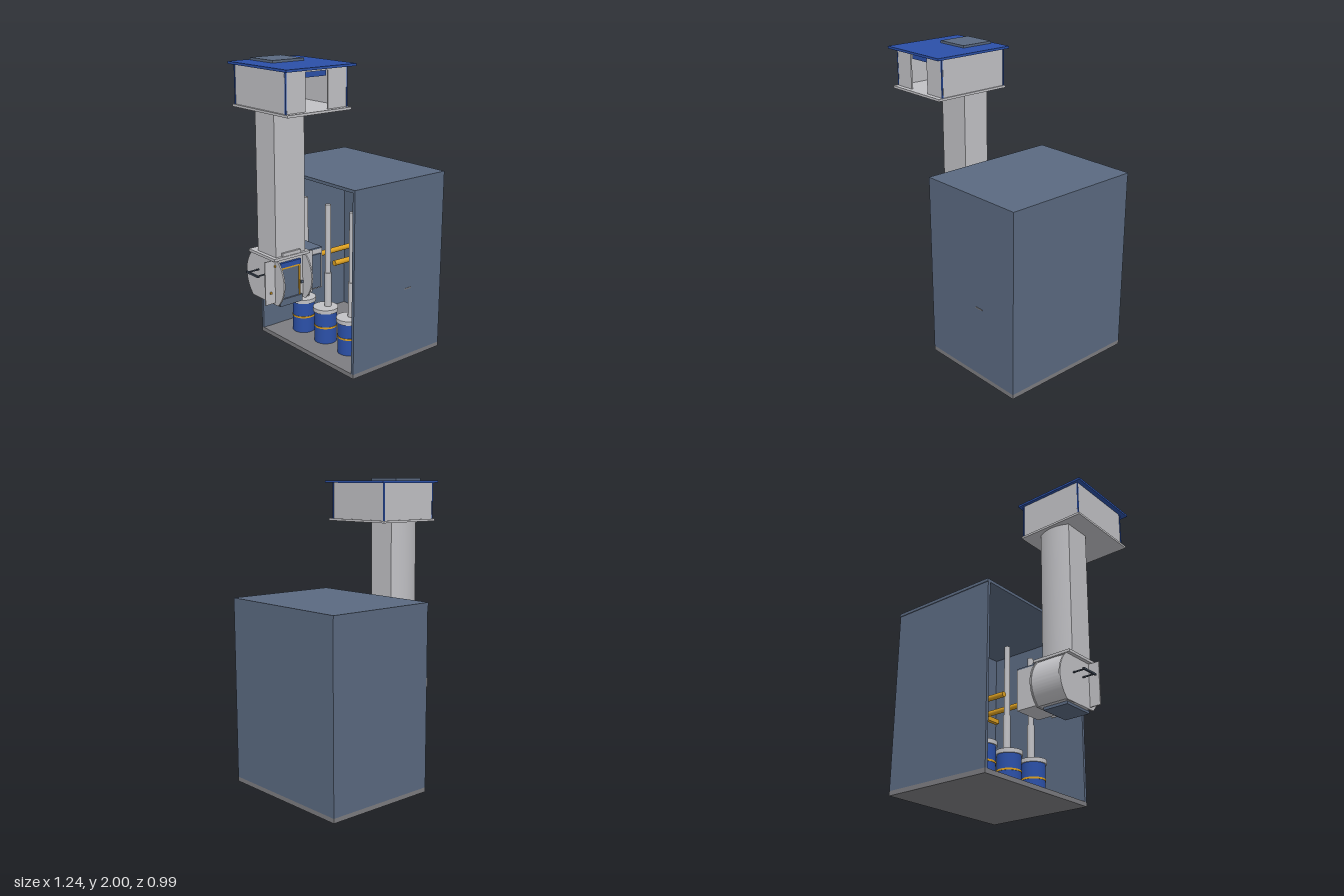
import * as THREE from 'three';
import { toCreasedNormals } from 'three/addons/utils/BufferGeometryUtils.js';

export function createModel() {
  const model = new THREE.Group();
  const paint = (name, color) => {
    const m = new THREE.MeshStandardMaterial({ color });
    m.name = name;
    return m;
  };
  const slate = paint('slate', 0x5a6980);
  const blue = paint('blue', 0x2b50a8);
  const lightGrey = paint('lightGrey', 0xc1c1c5);
  const baseGrey = paint('baseGrey', 0x7c7c80);
  const orange = paint('orange', 0xdca022);
  const dark = paint('dark', 0x3c4654);

  const add = (name, geometry, material, parent = model) => {
    const mesh = new THREE.Mesh(geometry, material);
    mesh.name = name;
    parent.add(mesh);
    return mesh;
  };
  // box from its limits on each axis
  const box = (name, mat, x0, x1, y0, y1, z0, z1, parent) => {
    const mesh = add(name, new THREE.BoxGeometry(x1 - x0, y1 - y0, z1 - z0), mat, parent);
    mesh.position.set((x0 + x1) / 2, (y0 + y1) / 2, (z0 + z1) / 2);
    return mesh;
  };
  const cylinder = (name, mat, r, y0, y1, x, z, parent) => {
    const mesh = add(name, new THREE.CylinderGeometry(r, r, y1 - y0, 32), mat, parent);
    mesh.position.set(x, (y0 + y1) / 2, z);
    return mesh;
  };
  const extrude = (shape, depth) => toCreasedNormals(
    new THREE.ExtrudeGeometry(shape, { depth, bevelEnabled: false, curveSegments: 24 }), 0.6);

  // cabinet, open towards the tower
  const cabinet = new THREE.Group();
  cabinet.name = 'cabinet';
  model.add(cabinet);
  box('cabinetBase', baseGrey, -0.16, 0.62, 0, 0.03, -0.49, 0.49, cabinet);
  box('cabinetRoof', slate, -0.16, 0.62, 1.22, 1.24, -0.495, 0.49, cabinet);
  box('cabinetSide', slate, 0.6, 0.62, 0.03, 1.22, -0.49, 0.49, cabinet);
  box('cabinetFront', slate, -0.16, 0.6, 0.03, 1.22, 0.47, 0.49, cabinet);
  box('cabinetBack', slate, -0.16, 0.6, 0.03, 1.22, -0.49, -0.47, cabinet);
  box('frontMark', baseGrey, 0.28, 0.34, 0.498, 0.506, 0.488, 0.493, cabinet);

  // row of drums with riser pipes
  for (const z of [-0.275, -0.033, 0.21]) {
    const drum = new THREE.Group();
    drum.name = 'drum';
    drum.position.set(0.05, 0, z);
    model.add(drum);
    cylinder('drumBody', blue, 0.077, 0.03, 0.25, 0, 0, drum);
    cylinder('drumBand', orange, 0.08, 0.14, 0.152, 0, 0, drum);
    cylinder('drumLid', lightGrey, 0.086, 0.25, 0.278, 0, 0, drum);
    cylinder('riserSleeve', lightGrey, 0.024, 0.278, 0.52, 0.02, 0, drum);
    cylinder('riserPipe', lightGrey, 0.019, 0.52, 1.0, 0.02, 0, drum);
  }
  // horizontal feed pipes
  for (const z of [-0.12, 0.09]) {
    const pipe = add('feedPipe', new THREE.CylinderGeometry(0.018, 0.018, 0.38, 20), orange);
    pipe.rotation.z = Math.PI / 2;
    pipe.position.set(0.21, 0.63, z);
  }
  box('feedManifold', orange, 0.38, 0.41, 0.615, 0.645, -0.16, 0.25);

  // lower housing: round cheeks around a body with a curved back
  const housing = new THREE.Group();
  housing.name = 'housing';
  model.add(housing);
  const R = 0.2, H = 0.15, a = Math.asin(H / R);
  const cheek = new THREE.Shape();
  cheek.absarc(0, 0, R, -a, a, false);
  cheek.absarc(0, 0, R, Math.PI - a, Math.PI + a, false);
  const body = new THREE.Shape();
  body.moveTo(0.1, -H);
  body.lineTo(0.1, H);
  body.absarc(0, 0, R - 0.006, Math.PI - a, Math.PI + a, false);
  const across = (name, shape, x0, x1) => {
    const mesh = add(name, extrude(shape, x1 - x0).rotateY(-Math.PI / 2), lightGrey, housing);
    mesh.position.set(x1, 0.62, 0);
  };
  across('housingBody', body, -0.47, -0.26);
  across('rightCheek', cheek, -0.48, -0.47);
  across('leftCheek', cheek, -0.26, -0.25);
  box('housingFoot', slate, -0.455, -0.275, 0.455, 0.475, -0.1, 0.11, housing);
  box('frontPlate', lightGrey, -0.555, -0.18, 0.485, 0.77, 0.1, 0.108, housing);
  box('collar', lightGrey, -0.505, -0.225, 0.77, 0.788, -0.135, 0.14, housing);
  box('collarTab', lightGrey, -0.435, -0.295, 0.788, 0.81, 0.12, 0.135, housing);

  // framed front window
  box('windowPanel', slate, -0.435, -0.295, 0.5, 0.7, 0.108, 0.114, housing);
  box('windowHead', blue, -0.445, -0.285, 0.71, 0.742, 0.108, 0.125, housing);
  box('windowSill', slate, -0.455, -0.275, 0.455, 0.5, 0.1, 0.125, housing);
  box('frameTop', orange, -0.445, -0.29, 0.698, 0.71, 0.108, 0.12, housing);
  box('frameSide', orange, -0.298, -0.288, 0.5, 0.7, 0.108, 0.12, housing);
  for (let i = 0; i < 7; i++) {
    const y = 0.51 + i * 0.028;
    box('frameTooth', orange, -0.447, -0.427, y, y + 0.014, 0.108, 0.12, housing);
  }
  // small fittings
  box('latch', dark, -0.225, -0.2, 0.605, 0.617, 0.108, 0.125, housing);
  box('latchPost', dark, -0.215, -0.207, 0.59, 0.635, 0.108, 0.122, housing);
  box('switch', slate, -0.277, -0.262, 0.57, 0.588, 0.108, 0.118, housing);
  for (const [x, y] of [[-0.48, 0.73], [-0.515, 0.56]])
    box('knob', orange, x - 0.006, x + 0.006, y - 0.006, y + 0.006, 0.108, 0.118, housing);
  // side handle
  box('handleBar', dark, -0.57, -0.558, 0.655, 0.667, -0.08, 0.05, housing);
  for (const z of [-0.065, 0.035])
    box('handleStem', dark, -0.56, -0.48, 0.657, 0.665, z - 0.004, z + 0.004, housing);

  // passage into the cabinet
  box('passage', lightGrey, -0.25, -0.086, 0.49, 0.76, -0.12, 0.09, housing);
  box('passageLid', slate, -0.25, -0.086, 0.76, 0.77, -0.12, 0.09, housing);
  box('passageFlange', slate, -0.18, -0.1, 0.5, 0.73, 0.09, 0.1, housing);

  // duct with a bowed back
  const duct = new THREE.Shape();
  duct.moveTo(-0.48, -0.12);
  duct.lineTo(-0.25, -0.12);
  duct.lineTo(-0.25, 0.07);
  duct.quadraticCurveTo(-0.365, 0.135, -0.48, 0.07);
  duct.closePath();
  add('duct', extrude(duct, 0.935).rotateX(-Math.PI / 2), lightGrey).position.y = 0.785;

  // hood with an opening in the front wall
  const hood = new THREE.Group();
  hood.name = 'hood';
  model.add(hood);
  box('hoodFloor', lightGrey, -0.605, -0.13, 1.715, 1.73, -0.125, 0.418, hood);
  box('hoodBack', lightGrey, -0.585, -0.145, 1.73, 1.97, -0.116, -0.106, hood);
  box('hoodRight', lightGrey, -0.592, -0.582, 1.73, 1.97, -0.106, 0.376, hood);
  box('hoodLeft', lightGrey, -0.148, -0.138, 1.73, 1.97, -0.106, 0.376, hood);
  box('hoodFrontRight', lightGrey, -0.585, -0.45, 1.73, 1.97, 0.376, 0.386, hood);
  box('hoodFrontLeft', lightGrey, -0.285, -0.145, 1.73, 1.97, 0.376, 0.386, hood);
  box('hoodLintel', lightGrey, -0.45, -0.285, 1.955, 1.97, 0.376, 0.386, hood);
  box('hoodBlind', blue, -0.45, -0.285, 1.922, 1.955, 0.35, 0.37, hood);
  for (const x of [-0.594, -0.144])
    for (const z of [-0.117, 0.379])
      box('cornerPost', blue, x, x + 0.008, 1.73, 1.97, z, z + 0.008, hood);
  box('hoodRoof', blue, -0.623, -0.108, 1.97, 1.985, -0.136, 0.434, hood);
  box('roofCap', slate, -0.482, -0.25, 1.985, 2.0, -0.108, 0.12, hood);

  return model;
}
